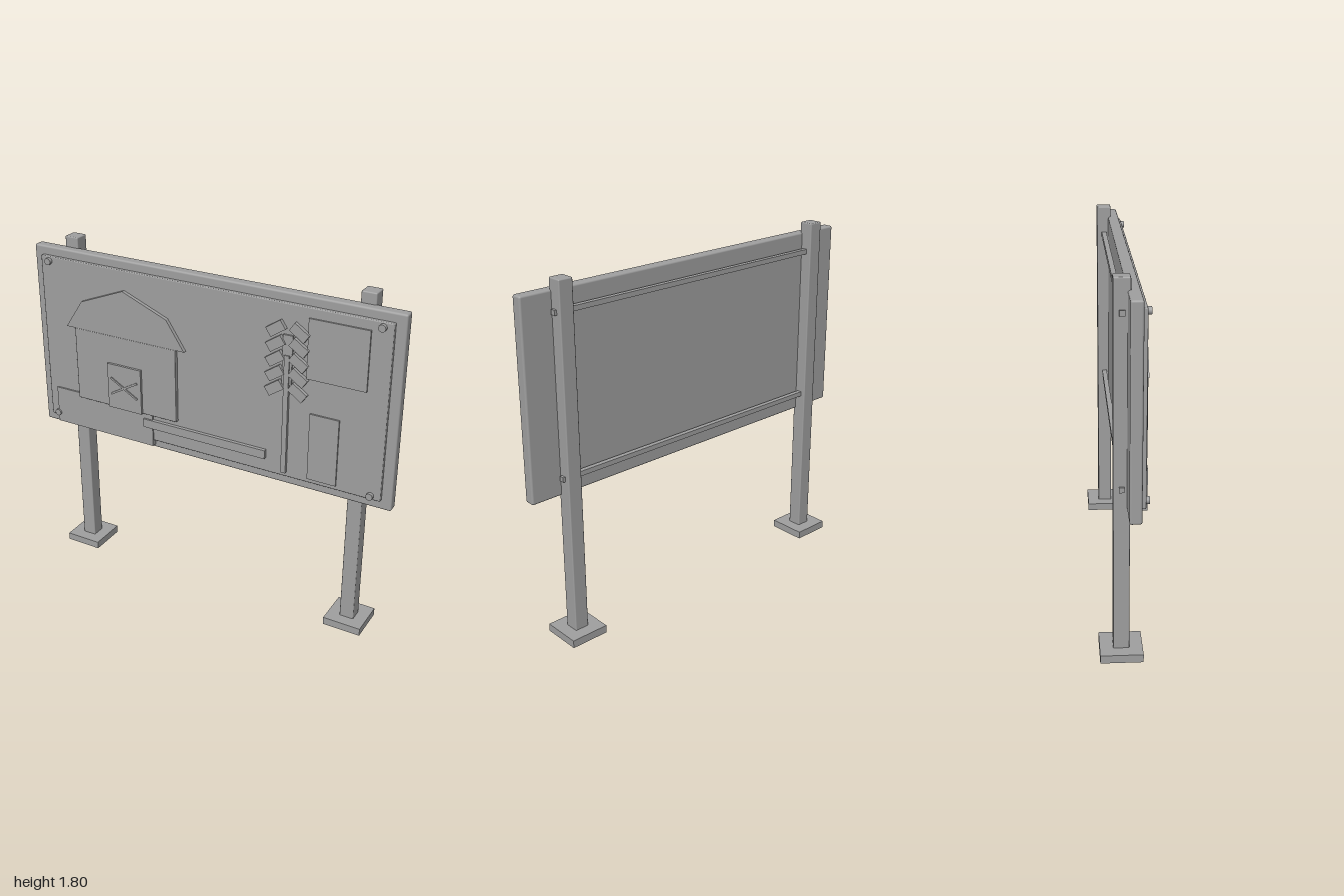
import * as THREE from 'three';
import { RoundedBoxGeometry } from 'three/addons/geometries/RoundedBoxGeometry.js';

export function createModel() {
  const sign = new THREE.Group();
  sign.name = 'informationBoard';
  const grey = new THREE.MeshStandardMaterial({ color: 0xa0a0a0 });
  grey.name = 'plain grey';

  const add = (name, geometry, x, y, z, parent = sign) => {
    const mesh = new THREE.Mesh(geometry, grey);
    mesh.name = name;
    mesh.position.set(x, y, z);
    parent.add(mesh);
    return mesh;
  };
  // Box given by its limits; a bevel rounds its edges
  const block = (name, x0, x1, y0, y1, z0, z1, bevel = 0, parent = sign) => {
    const size = [x1 - x0, y1 - y0, z1 - z0];
    const geometry = bevel
      ? new RoundedBoxGeometry(...size, 2, bevel)
      : new THREE.BoxGeometry(...size);
    return add(name, geometry, (x0 + x1) / 2, (y0 + y1) / 2, (z0 + z1) / 2, parent);
  };
  const group = (name) => {
    const g = new THREE.Group();
    g.name = name;
    sign.add(g);
    return g;
  };

  // Posts and feet
  for (const x of [-0.8, 0.8]) {
    block('post', x - 0.0375, x + 0.0375, 0, 1.8, -0.057, 0.018, 0.006);
    block('foot', x - 0.1, x + 0.1, 0, 0.04, -0.12, 0.08);
  }

  // Rails across the back
  for (const y of [0.85, 1.65]) {
    block('rail', -0.85, 0.85, y - 0.0125, y + 0.0125, -0.032, -0.007);
  }

  // Frame board and raised panel
  block('board', -1, 1, 0.755, 1.745, 0.004, 0.06, 0.01);
  block('panel', -0.95, 0.95, 0.805, 1.7, 0.055, 0.08, 0.005);

  // Corner bolts
  for (const x of [-0.9, 0.9]) {
    for (const y of [0.826, 1.676]) {
      const geometry = new THREE.CylinderGeometry(0.018, 0.018, 0.02, 12);
      add('bolt', geometry, x, y, 0.088).rotation.x = Math.PI / 2;
    }
  }

  // Barn relief
  const barn = group('barn');
  block('barnWall', -0.75, -0.15, 0.955, 1.35, 0.075, 0.1, 0.004, barn);
  const roof = new THREE.Shape([
    [-0.8, 1.35], [-0.1, 1.35], [-0.2, 1.5], [-0.45, 1.6], [-0.7, 1.5],
  ].map(([x, y]) => new THREE.Vector2(x, y)));
  add('barnRoof', new THREE.ExtrudeGeometry(roof, { depth: 0.02, bevelEnabled: false }),
    0, 0, 0.08, barn);
  block('barnDoor', -0.55, -0.35, 0.955, 1.2, 0.095, 0.113, 0, barn);
  for (const side of [-1, 1]) {
    add('doorBrace', new THREE.BoxGeometry(0.18, 0.01, 0.008), -0.45, 1.08, 0.115, barn)
      .rotation.z = side * 0.52;
  }

  // Field plates
  block('lowerField', -0.9, -0.3, 0.775, 0.975, 0.06, 0.089);
  block('fieldStrip', -0.35, 0.35, 0.88, 0.926, 0.078, 0.099);

  // Wheat stalk with paired grains
  const wheat = group('wheat');
  block('stalk', 0.437, 0.463, 0.83, 1.45, 0.078, 0.096, 0, wheat);
  block('wheatHead', 0.425, 0.475, 1.3, 1.55, 0.078, 0.09, 0, wheat);
  for (let i = 0; i < 5; i++) {
    for (const side of [-1, 1]) {
      add('grain', new THREE.BoxGeometry(0.09, 0.05, 0.02),
        0.45 + side * 0.06, 1.275 + i * 0.075, 0.09, wheat).rotation.z = -side * 0.6;
    }
  }

  // Notice plates on the right
  block('squareNotice', 0.55, 0.848, 1.353, 1.652, 0.078, 0.089);
  block('tallNotice', 0.575, 0.725, 0.829, 1.178, 0.078, 0.089);

  return sign;
}
